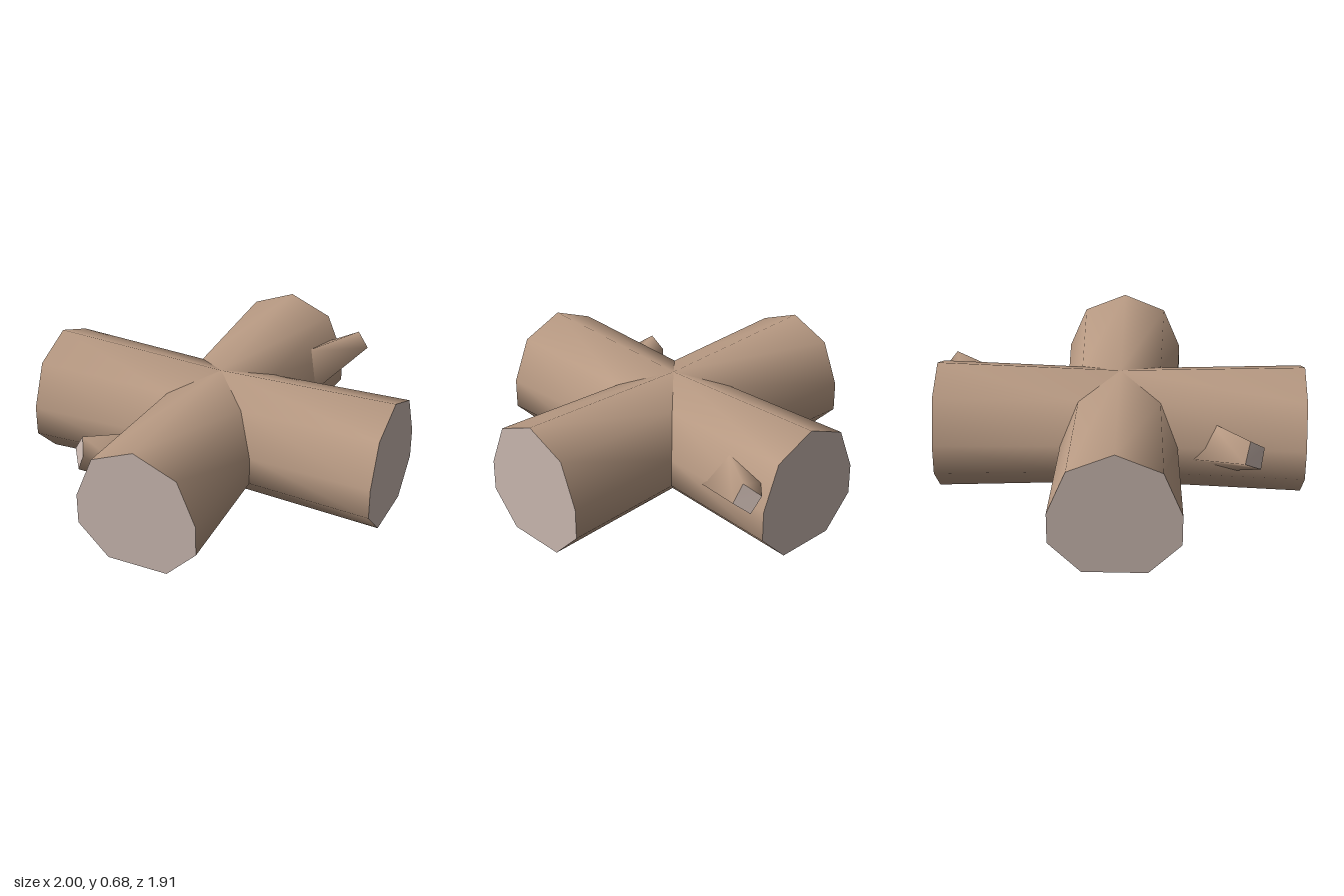
import * as THREE from 'three';

const bark = new THREE.MeshStandardMaterial({ color: 0xb89a83 });
bark.name = 'bark';
const cutWood = new THREE.MeshStandardMaterial({ color: 0xcab8b0 });
cutWood.name = 'cutWood';

function meshFrom(points, index, material, name) {
  const geometry = new THREE.BufferGeometry().setFromPoints(points);
  geometry.setIndex(index);
  geometry.computeVertexNormals();
  const mesh = new THREE.Mesh(geometry, material);
  mesh.name = name;
  return mesh;
}

// Smooth bark between two rings, with a flat cut face on the outer ring.
// Rings run anticlockwise as seen from the outer end.
function loft(inner, outer, name) {
  const n = inner.length;
  const sides = [];
  const cap = [];
  for (let i = 0; i < n; i++) {
    const j = (i + 1) % n;
    sides.push(i, j, n + j, i, n + j, n + i);
    if (i > 0 && i < n - 1) cap.push(0, i, i + 1);
  }
  const group = new THREE.Group();
  group.name = name;
  group.add(meshFrom([...inner, ...outer], sides, bark, name + 'Bark'));
  group.add(meshFrom(outer, cap, cutWood, name + 'CutEnd'));
  return group;
}

// Log cross-section: round on top, chamfered to a flat underside
const half = [[-0.24, 0.58], [-0.34, 0.34], [-0.34, 0.17], [-0.17, 0]];
const profile = [[0, 0.68], ...half, [0, 0], ...half.map(([u, y]) => [-u, y]).reverse()];
const CENTRE_X = -0.045, MID_Y = 0.34, LENGTH = 1.01, WAIST = 0.905;

// One arm of the cross, mitred at the middle and widening to its end
function arm(angle, name) {
  const d = new THREE.Vector3(Math.cos(angle), 0, Math.sin(angle));
  const e = new THREE.Vector3(d.z, 0, -d.x);
  const taper = (1 - WAIST) / LENGTH;
  const place = (u, y, along) => {
    const s = WAIST + taper * along;
    return new THREE.Vector3(CENTRE_X, MID_Y + (y - MID_Y) * s, 0)
      .addScaledVector(e, u * s).addScaledVector(d, along);
  };
  const inner = profile.map(([u, y]) => {
    const w = Math.abs(u);
    return place(u, y, (WAIST * w) / (1 - taper * w));
  });
  return loft(inner, profile.map(([u, y]) => place(u, y, LENGTH)), name);
}

// Four-sided branch stub; its root is pushed a little into the log
function stub(root, tip, name) {
  const outer = tip.map((p) => new THREE.Vector3(...p));
  const inner = root.map((p, i) => outer[i].clone().lerp(new THREE.Vector3(...p), 1.15));
  return loft(inner, outer, name);
}

export function createModel() {
  const model = new THREE.Group();
  model.name = 'crossedLogs';

  ['frontLeftArm', 'frontRightArm', 'backRightArm', 'backLeftArm'].forEach((name, i) => {
    model.add(arm(Math.PI / 4 + (i * Math.PI) / 2, name));
  });

  model.add(stub(
    [[0.83, 0.46, -0.46], [0.63, 0.51, -0.305], [0.6, 0.31, -0.17], [0.81, 0.3, -0.39]],
    [[0.96, 0.47, -0.46], [0.96, 0.54, -0.365], [1.0, 0.45, -0.315], [1.0, 0.39, -0.405]],
    'leftBranchStub'));
  model.add(stub(
    [[-0.55, 0.27, 0.06], [-0.72, 0.21, 0.22], [-0.765, 0.38, 0.283], [-0.594, 0.46, 0.18]],
    [[-0.904, 0.375, 0.085], [-0.92, 0.31, 0.195], [-0.9, 0.415, 0.24], [-0.877, 0.478, 0.15]],
    'rightBranchStub'));

  return model;
}
